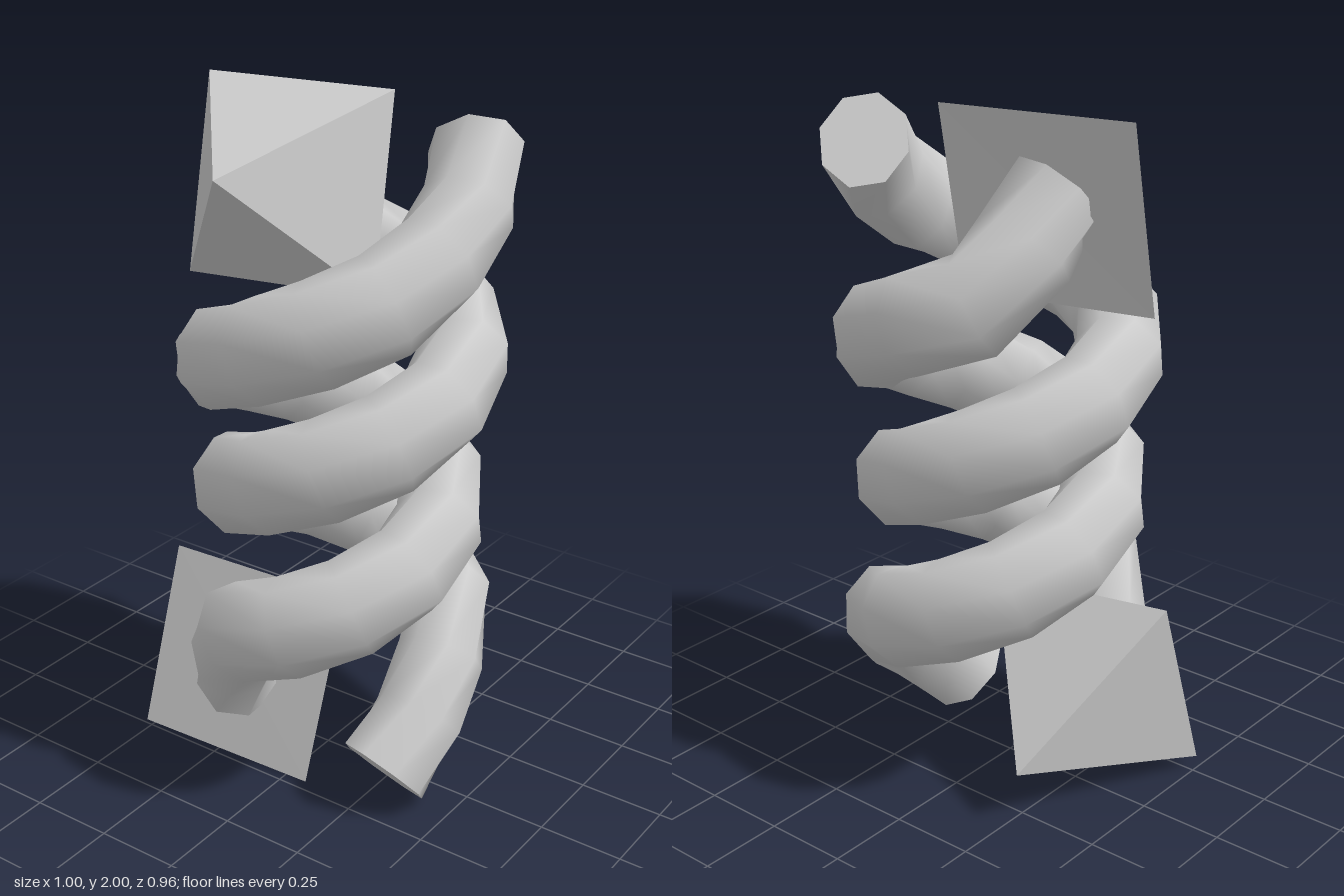
import * as THREE from 'three';

const RADIUS = 0.323, PITCH = 0.85, SIDES = 8, STEPS = 19;
const HALF_DEPTH = 0.128, HALF_HEIGHT = 0.147;

const axisX = (y) => 0.035 + 0.025 * (y - 1);

// Centre line: regular helix turns between explicit, steeper end points
function centreLine({ y0, cz, from, to, start, end }) {
  const pts = start.map((p) => new THREE.Vector3(...p));
  const count = Math.round((to - from) / 30);
  for (let i = 0; i <= count; i++) {
    const deg = from + (to - from) * i / count;
    const a = THREE.MathUtils.degToRad(deg), y = y0 + PITCH * deg / 360;
    pts.push(new THREE.Vector3(axisX(y) + RADIUS * Math.cos(a), y, cz - RADIUS * Math.sin(a)));
  }
  end.forEach((p) => pts.push(new THREE.Vector3(...p)));
  return new THREE.CatmullRomCurve3(pts);
}

// Sweep an eight-sided section, taller than deep, and close it with flat ends
function strand(name, options) {
  const curve = centreLine(options);
  const pos = [], index = [];
  for (let i = 0; i <= STEPS; i++) {
    const p = curve.getPointAt(i / STEPS), t = curve.getTangentAt(i / STEPS);
    const out = new THREE.Vector3(p.x - axisX(p.y), 0, p.z - options.cz);
    out.addScaledVector(t, -out.dot(t)).normalize();
    const up = new THREE.Vector3().crossVectors(t, out);
    for (let j = 0; j < SIDES; j++) {
      const a = (j + 0.5) / SIDES * Math.PI * 2;
      const v = p.clone()
        .addScaledVector(out, HALF_DEPTH * Math.cos(a))
        .addScaledVector(up, HALF_HEIGHT * Math.sin(a));
      pos.push(v.x, v.y, v.z);
      if (i < STEPS) {
        const k = (j + 1) % SIDES, r = i * SIDES, s = r + SIDES;
        index.push(r + j, r + k, s + k, r + j, s + k, s + j);
      }
    }
  }
  // End caps use their own vertices so the rims stay sharp
  const ring = SIDES * 3;
  const first = pos.slice(0, ring), last = pos.slice(-ring);
  const c = pos.length / 3, d = c + SIDES;
  pos.push(...first, ...last);
  for (let j = 2; j < SIDES; j++) index.push(c, c + j, c + j - 1, d, d + j - 1, d + j);

  const geo = new THREE.BufferGeometry();
  geo.setAttribute('position', new THREE.Float32BufferAttribute(pos, 3));
  geo.setIndex(index);
  geo.computeVertexNormals();
  const mesh = new THREE.Mesh(geo, new THREE.MeshStandardMaterial({ color: 0xcccccc }));
  mesh.name = name;
  return mesh;
}

// Square pyramid: base corners run counter-clockwise seen from the apex
function pyramid(name, base, apex) {
  const pts = [];
  base.forEach((c, i) => pts.push(c, base[(i + 1) % 4], apex));
  pts.push(base[3], base[2], base[1], base[3], base[1], base[0]);
  const geo = new THREE.BufferGeometry();
  geo.setAttribute('position', new THREE.Float32BufferAttribute(pts.flat(), 3));
  geo.computeVertexNormals();
  const mesh = new THREE.Mesh(geo, new THREE.MeshStandardMaterial({ color: 0xcccccc, flatShading: true }));
  mesh.name = name;
  return mesh;
}

export function createModel() {
  const model = new THREE.Group();
  model.name = 'twinHelixWithPyramids';
  // Two interlocked strands, half a pitch apart
  model.add(
    strand('firstStrand', {
      y0: 0.79, cz: 0.037, from: -105, to: 335,
      start: [[-0.22, 0.26, 0.16]],
      end: [[0.375, 1.68, -0.02], [0.365, 1.78, -0.14], [0.31, 1.875, -0.24]]
    }),
    strand('secondStrand', {
      y0: 0.38, cz: -0.037, from: 35, to: 490,
      start: [[0.315, 0.115, 0.165], [0.338, 0.2, 0.07], [0.335, 0.3, -0.04]],
      end: [[-0.2, 1.78, -0.05]]
    })
  );
  // Upper pyramid points forward, lower one backward
  model.add(
    pyramid('upperPyramid',
      [[-0.48, 2, -0.1], [-0.45, 1.455, 0.05], [0.105, 1.455, -0.07], [0.07, 2, -0.21]],
      [-0.09, 1.86, 0.375]),
    pyramid('lowerPyramid',
      [[0.085, 0.555, 0.04], [0.07, 0.005, 0.215], [-0.495, 0.04, 0.275], [-0.48, 0.585, 0.11]],
      [-0.27, 0.16, -0.3])
  );
  return model;
}
